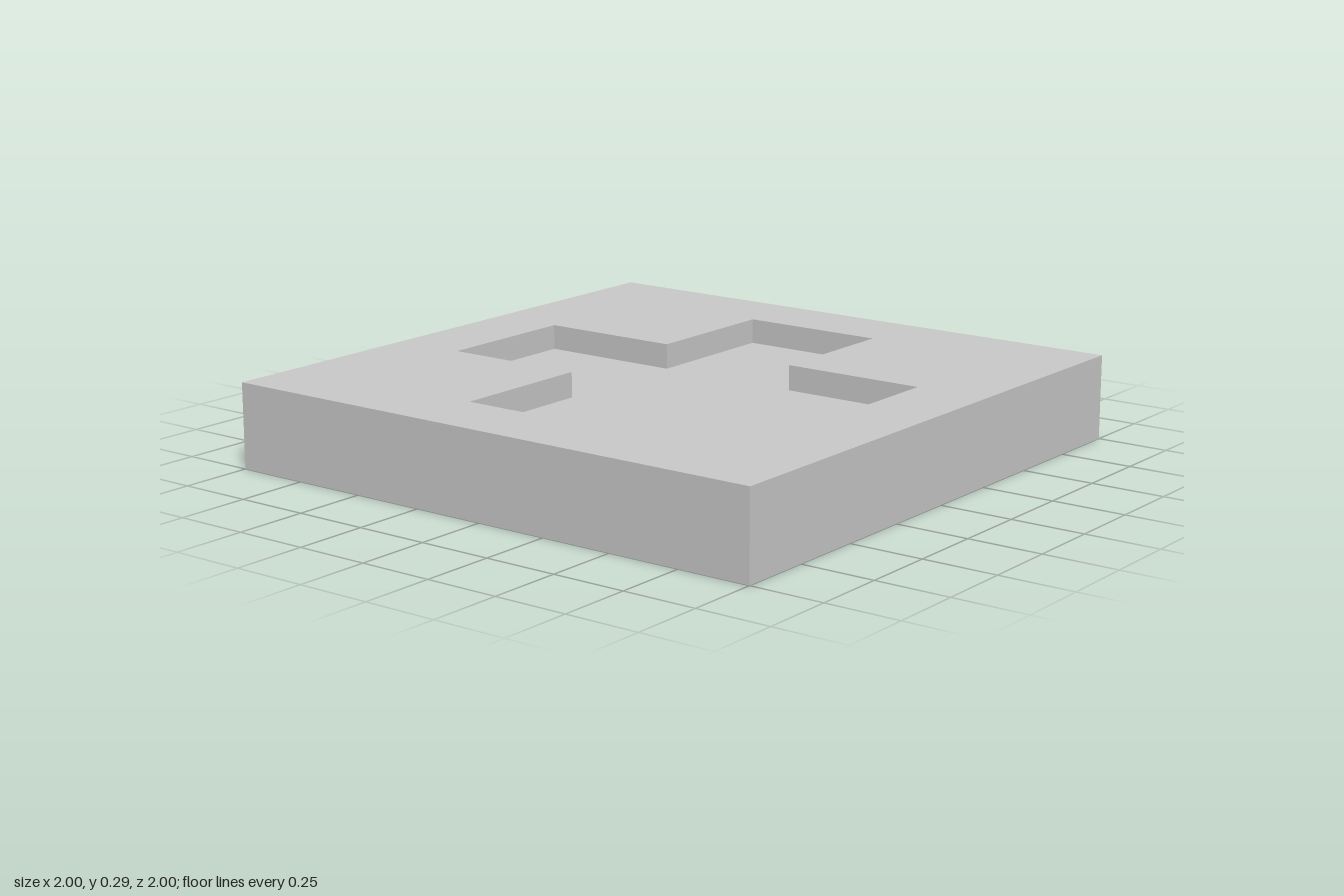
import * as THREE from 'three';
import { mergeGeometries } from 'three/addons/utils/BufferGeometryUtils.js';

const HEIGHT = 0.287, DEPTH = 0.085, HALF = 1, ARM = 0.75, ARM_HALF = 0.253;

// Flat face at height z, facing up
function face(points, z, holes = []) {
  const shape = new THREE.Shape(points);
  shape.holes = holes.map((h) => new THREE.Path(h));
  return new THREE.ShapeGeometry(shape).toNonIndexed().translate(0, 0, z);
}

// Upright walls along a closed loop, facing outward for a counter-clockwise loop
function walls(points, z0, z1) {
  const pos = [], uv = [];
  points.forEach((a, i) => {
    const b = points[(i + 1) % points.length];
    pos.push(a.x, a.y, z0, b.x, b.y, z0, b.x, b.y, z1);
    pos.push(a.x, a.y, z0, b.x, b.y, z1, a.x, a.y, z1);
    uv.push(0, 0, 1, 0, 1, 1, 0, 0, 1, 1, 0, 1);
  });
  const geo = new THREE.BufferGeometry();
  geo.setAttribute('position', new THREE.Float32BufferAttribute(pos, 3));
  geo.setAttribute('uv', new THREE.Float32BufferAttribute(uv, 2));
  geo.computeVertexNormals();
  return geo;
}

export function createModel() {
  const group = new THREE.Group();
  group.name = 'crossRecessPlate';
  const material = new THREE.MeshStandardMaterial({ color: 0xcccccc, flatShading: true });
  const add = (name, parts) => {
    const mesh = new THREE.Mesh(mergeGeometries(parts).rotateX(-Math.PI / 2), material);
    mesh.name = name;
    group.add(mesh);
  };

  // Counter-clockwise outlines: square plate and plus-shaped pocket
  const square = [[-1, -1], [1, -1], [1, 1], [-1, 1]]
    .map(([x, y]) => new THREE.Vector2(x * HALF, y * HALF));
  const cross = [];
  for (let i = 0; i < 4; i++) {
    for (const [x, y] of [[ARM, -ARM_HALF], [ARM, ARM_HALF], [ARM_HALF, ARM_HALF]]) {
      cross.push(new THREE.Vector2(x, y).rotateAround(new THREE.Vector2(), i * Math.PI / 2));
    }
  }

  // Plate: top with the opening, outer sides and underside
  add('plate', [
    face(square, HEIGHT, [cross]),
    walls(square, 0, HEIGHT),
    face(square, 0).rotateX(Math.PI),
  ]);

  // Pocket: sunken floor and inward-facing walls
  add('crossPocket', [
    face(cross, HEIGHT - DEPTH),
    walls([...cross].reverse(), HEIGHT - DEPTH, HEIGHT),
  ]);

  return group;
}
